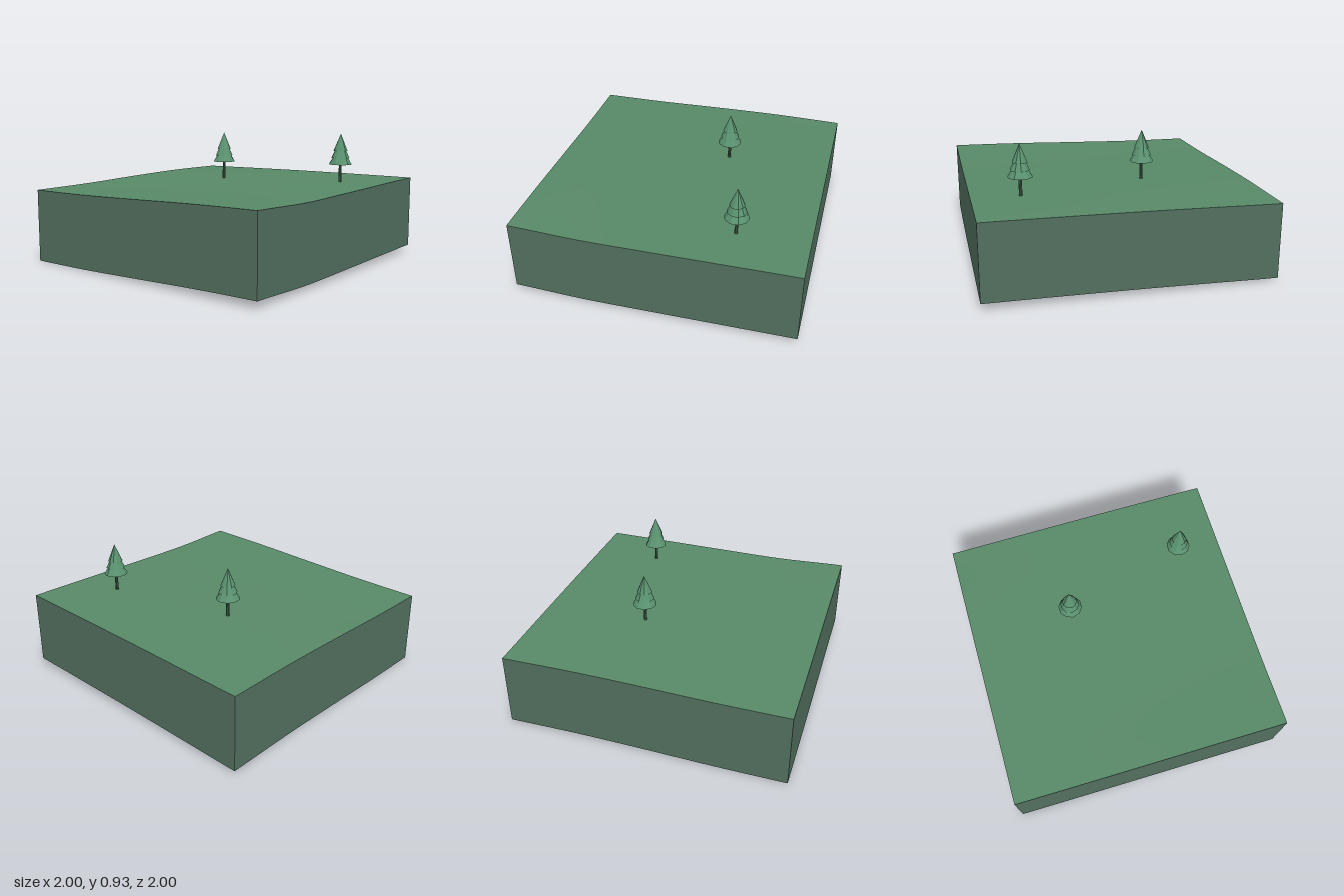
import * as THREE from 'three';

const material = (name, color, side = THREE.FrontSide, flatShading = false) =>
  Object.assign(new THREE.MeshStandardMaterial({ color, side, flatShading }), { name });

const SKIRT_DEPTH = 0.53;
const SEGMENTS = 20;

// Ground height: two side profiles blended across x
const curve = (heights) => {
  const c = new THREE.SplineCurve(heights.map((h, i) => new THREE.Vector2(i, h)));
  return (t) => c.getPoint((t + 1) / 2).y;
};
const leftEdge = curve([0.55, 0.555, 0.548, 0.536, 0.533]); // x = -1, back to front
const rightEdge = curve([0.585, 0.579, 0.572, 0.568, 0.585]); // x = +1, back to front
const frontBlend = curve([0, 0.13, 0.45, 0.8, 1]);
const backBlend = curve([0, 0.33, 0.64, 0.85, 1]);

function groundHeight(x, z) {
  const t = THREE.MathUtils.lerp(backBlend(x), frontBlend(x), (z + 1) / 2);
  return THREE.MathUtils.lerp(leftEdge(z), rightEdge(z), t);
}

// Gently rolling top surface
function groundGeometry() {
  const geo = new THREE.PlaneGeometry(2, 2, SEGMENTS, SEGMENTS).rotateX(-Math.PI / 2);
  const p = geo.attributes.position;
  for (let i = 0; i < p.count; i++) p.setY(i, groundHeight(p.getX(i), p.getZ(i)));
  geo.computeVertexNormals();
  return geo;
}

// One wall hanging at constant depth under a ground edge, turned by a quarter turn per side
function skirtGeometry(side) {
  const geo = new THREE.PlaneGeometry(2, 1, SEGMENTS, 1).translate(0, 0, 1).rotateY((side * Math.PI) / 2);
  const p = geo.attributes.position;
  for (let i = 0; i < p.count; i++) {
    const drop = p.getY(i) < 0 ? SKIRT_DEPTH : 0;
    p.setY(i, groundHeight(p.getX(i), p.getZ(i)) - drop);
  }
  geo.computeVertexNormals();
  return geo;
}

export function createModel() {
  const grass = material('grass', 0x588a68, THREE.DoubleSide);
  const earth = material('earth', 0x52705f, THREE.DoubleSide);
  const foliage = material('foliage', 0x5a9270, THREE.FrontSide, true);
  const bark = material('bark', 0x456650, THREE.FrontSide, true);

  const model = new THREE.Group();
  model.name = 'landscapeTile';
  const add = (parent, name, geo, mat, y = 0) => {
    const mesh = new THREE.Mesh(geo, mat);
    mesh.name = name;
    mesh.position.y = y;
    parent.add(mesh);
    return mesh;
  };

  add(model, 'ground', groundGeometry(), grass);
  ['frontSkirt', 'leftSkirt', 'backSkirt', 'rightSkirt'].forEach((name, i) =>
    add(model, name, skirtGeometry(i), earth));

  // Fir trees: bottom, top, base radius and top radius of each tier above the tree foot
  const tiers = [
    [0.13, 0.24, 0.086, 0.022],
    [0.178, 0.28, 0.068, 0.02],
    [0.23, 0.358, 0.053, 0],
  ];
  const trees = [[-0.25, 0.565, -0.25], [0.665, 0.578, -0.5]];
  trees.forEach(([x, y, z], n) => {
    const tree = new THREE.Group();
    tree.name = `tree${n + 1}`;
    tree.position.set(x, y, z);
    add(tree, 'trunk', new THREE.CylinderGeometry(0.011, 0.012, 0.16, 8), bark, 0.07);
    tiers.forEach(([y0, y1, r0, r1], i) =>
      add(tree, `foliageTier${i + 1}`, new THREE.CylinderGeometry(r1, r0, y1 - y0, 10), foliage, (y0 + y1) / 2));
    model.add(tree);
  });

  return model;
}
